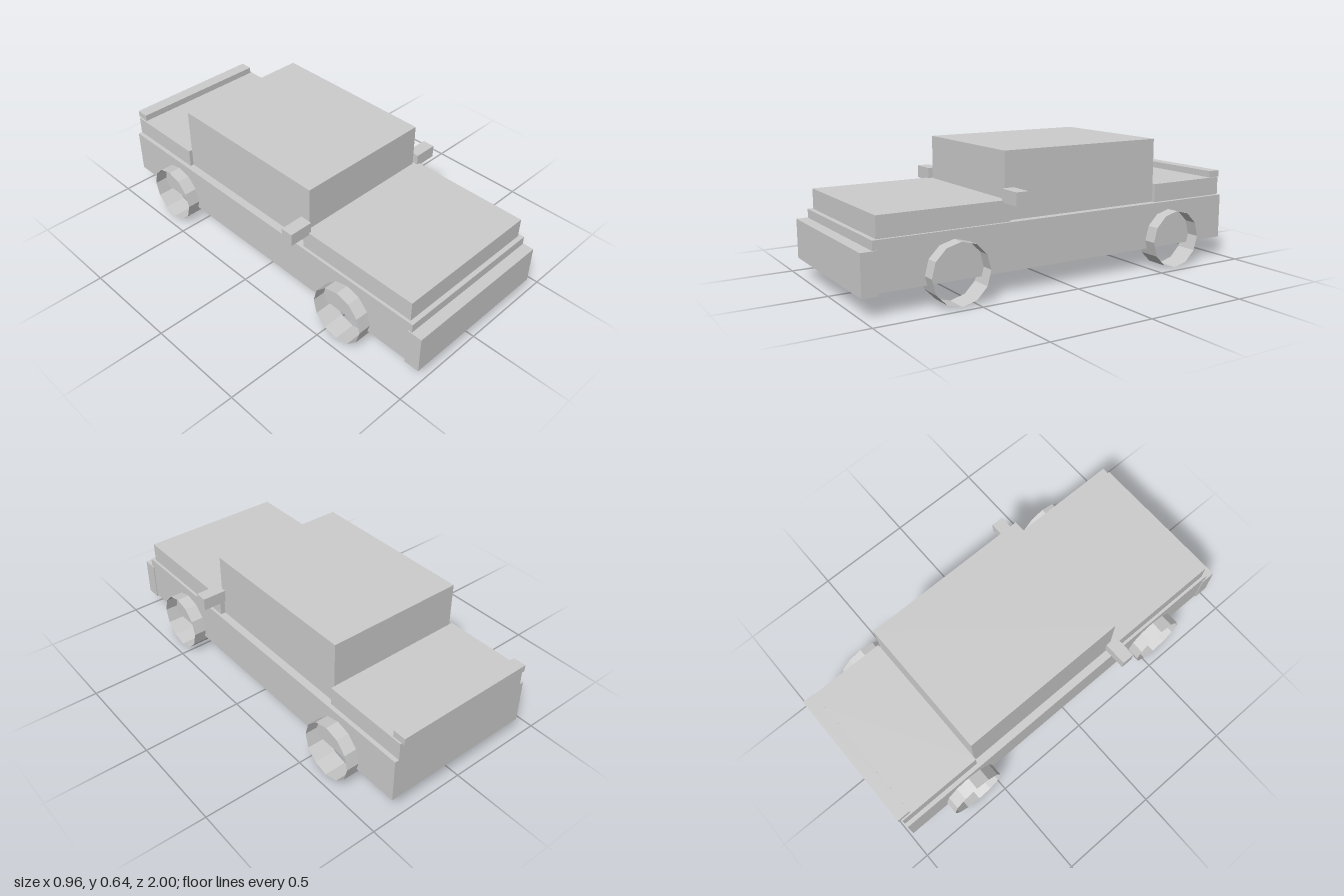
import * as THREE from 'three';

export function createModel() {
  const car = new THREE.Group();
  car.name = 'car';
  const grey = new THREE.MeshStandardMaterial({ color: 0xcccccc, flatShading: true, side: THREE.DoubleSide });
  grey.name = 'light grey';

  // Box given by its limits along each axis
  function box(name, x0, x1, y0, y1, z0, z1) {
    const mesh = new THREE.Mesh(new THREE.BoxGeometry(x1 - x0, y1 - y0, z1 - z0), grey);
    mesh.position.set((x0 + x1) / 2, (y0 + y1) / 2, (z0 + z1) / 2);
    mesh.name = name;
    car.add(mesh);
  }

  // Body
  box('lowerBody', -0.389, 0.389, 0.1, 0.323, -0.985, 0.945);
  box('hood', -0.375, 0.375, 0.323, 0.421, 0.285, 0.922);
  box('cabin', -0.35, 0.35, 0.323, 0.636, -0.557, 0.3);
  box('trunk', -0.368, 0.368, 0.323, 0.413, -0.985, -0.557);
  box('frontBumper', -0.394, 0.394, 0.09, 0.28, 0.925, 1);
  box('rearSpoiler', -0.36, 0.36, 0.413, 0.446, -1, -0.935);

  // Side mirrors
  box('leftMirror', 0.36, 0.479, 0.41, 0.472, 0.258, 0.32);
  box('rightMirror', -0.479, -0.36, 0.41, 0.472, 0.258, 0.32);

  // Wheels: open twelve-sided rings
  const r = 0.142;
  const ring = new THREE.CylinderGeometry(r, r, 0.111, 12, 1, true).rotateZ(Math.PI / 2);
  for (const [end, z] of [['front', 0.573], ['rear', -0.629]]) {
    for (const [side, s] of [['Left', 1], ['Right', -1]]) {
      const wheel = new THREE.Mesh(ring, grey);
      wheel.position.set(s * 0.398, r, z);
      wheel.name = `${end}${side}Wheel`;
      car.add(wheel);
    }
  }
  return car;
}
